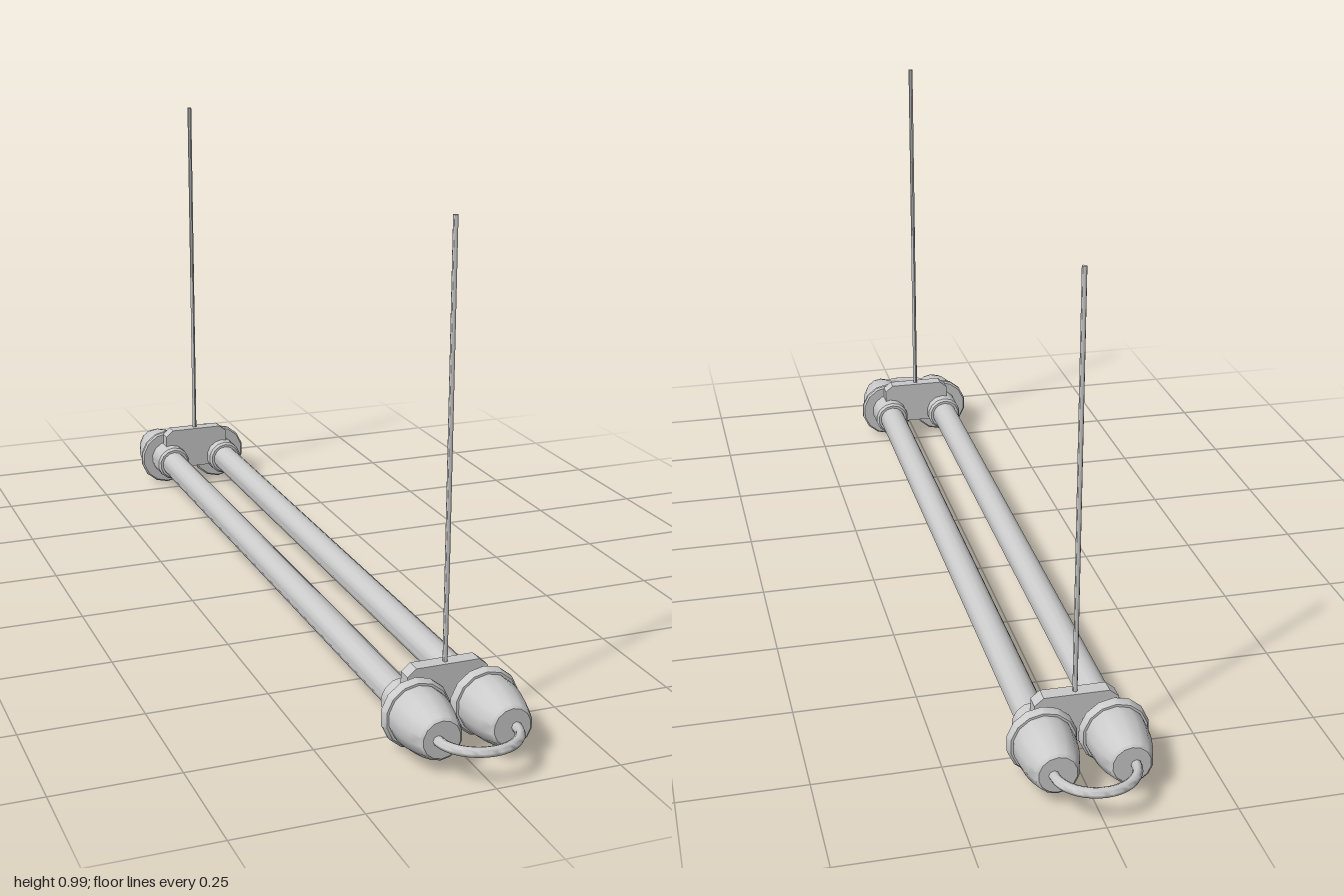
import * as THREE from 'three';
import { toCreasedNormals } from 'three/addons/utils/BufferGeometryUtils.js';

const mat = new THREE.MeshStandardMaterial({ color: 0xcccccc });
const AXIS_Y = 0.071, TUBE_X = 0.07, SIDES = 14;

function part(name, geometry, parent, crease = 0.6) {
  const mesh = new THREE.Mesh(toCreasedNormals(geometry, crease), mat);
  mesh.name = name;
  parent.add(mesh);
  return mesh;
}

// Turned part along +z from [radius, z] pairs
function turned(pairs) {
  const g = new THREE.LatheGeometry(pairs.map(([r, z]) => new THREE.Vector2(r, z)), SIDES);
  return g.rotateX(Math.PI / 2);
}

function createEnd(name) {
  const end = new THREE.Group();
  end.name = name;

  for (const side of [-1, 1]) {
    const socket = new THREE.Group();
    socket.name = side > 0 ? 'leftSocket' : 'rightSocket';
    socket.position.set(side * TUBE_X, AXIS_Y, 0);
    end.add(socket);

    // Collar gripping the tube
    part('collar', turned([[0, 0.733], [0.037, 0.733], [0.042, 0.739], [0.042, 0.8], [0, 0.8]]), socket);
    // Flange ring
    part('flange', turned([[0, 0.796], [0.065, 0.796], [0.069, 0.8], [0.069, 0.808], [0.064, 0.816], [0, 0.816]]), socket);
    // Tapered end cap
    part('endCap', turned([[0, 0.81], [0.059, 0.81], [0.06, 0.83], [0.057, 0.86],
      [0.051, 0.888], [0.042, 0.916], [0.037, 0.92], [0, 0.92]]), socket);
  }

  // Hanger plate joining both collars
  const shape = new THREE.Shape();
  [[-0.035, 0.05], [0.035, 0.05], [0.082, 0.085], [0.082, 0.137], [0.064, 0.152],
    [-0.064, 0.152], [-0.082, 0.137], [-0.082, 0.085]]
    .forEach(([x, y], i) => (i ? shape.lineTo(x, y) : shape.moveTo(x, y)));
  const plate = new THREE.ExtrudeGeometry(shape, { depth: 0.03, bevelEnabled: false });
  part('hangerPlate', plate.translate(0, 0, 0.762), end, 0.3);

  // Suspension rod
  const rod = new THREE.CylinderGeometry(0.005, 0.005, 0.85, 8);
  part('suspensionRod', rod.translate(0, 0.565, 0.778), end, 0.9);

  // Cable arching between the two caps
  const points = [new THREE.Vector3(-0.078, AXIS_Y, 0.9)];
  for (let i = 0; i <= 12; i++) {
    const a = Math.PI * (1 - i / 12);
    points.push(new THREE.Vector3(0.078 * Math.cos(a), AXIS_Y, 0.918 + 0.072 * Math.sin(a)));
  }
  points.push(new THREE.Vector3(0.078, AXIS_Y, 0.9));
  part('cableLoop', new THREE.TubeGeometry(new THREE.CatmullRomCurve3(points), 32, 0.01, 8), end, 0.9);
  return end;
}

export function createModel() {
  const model = new THREE.Group();
  model.name = 'hangingTubeLamp';

  // Long lamp tubes
  for (const side of [-1, 1]) {
    const tube = new THREE.CylinderGeometry(0.031, 0.031, 1.5, SIDES);
    part(side > 0 ? 'leftTube' : 'rightTube', tube.rotateX(Math.PI / 2), model)
      .position.set(side * TUBE_X, AXIS_Y, 0);
  }

  // Identical fittings at both ends
  const back = createEnd('backFitting');
  back.rotation.y = Math.PI;
  model.add(createEnd('frontFitting'), back);
  return model;
}
